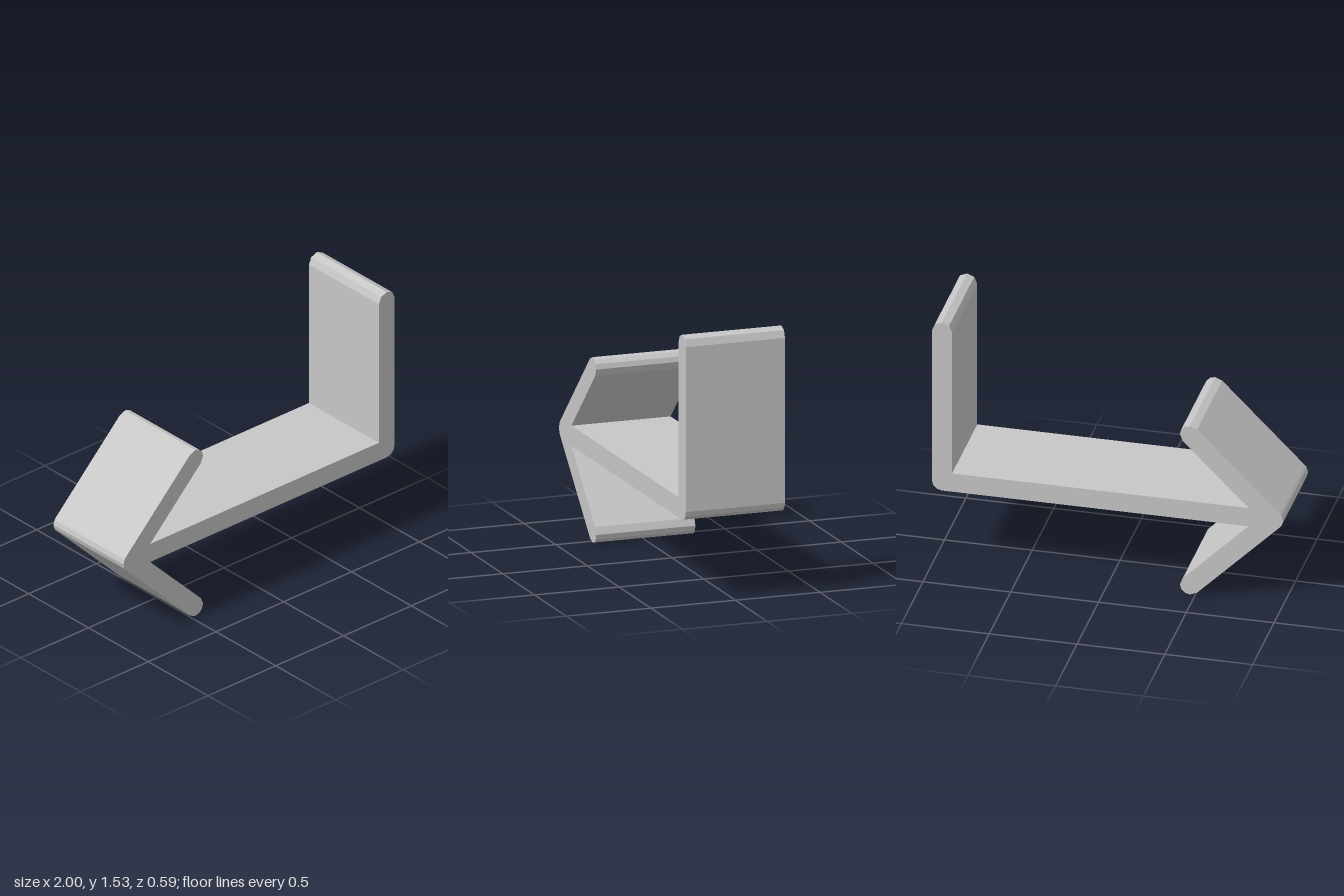
import * as THREE from 'three';

const R = 0.0575;      // half the thickness of every arm
const DEPTH = 0.586;   // width of the strip along z
const MID = 0.53;      // height of the shaft's centre line
const CORNER = 0.9425; // x of both bend centres (plus and minus)
const ARM = 0.4725;    // reach of each barb in x and y

// Points on a rounded end or bend, at the given angles in degrees
function arc(cx, cy, angles) {
  return angles.map((a) => {
    const t = THREE.MathUtils.degToRad(a);
    return new THREE.Vector2(cx + R * Math.cos(t), cy + R * Math.sin(t));
  });
}

export function createModel() {
  const group = new THREE.Group();
  group.name = 'bentBracket';
  const grey = new THREE.MeshStandardMaterial({ color: 0xc6c6c6 });
  grey.name = 'lightGrey';

  const tipX = -CORNER + ARM;
  const notchX = -CORNER + R + R * Math.SQRT2; // where barb meets shaft

  // One continuous outline, counter-clockwise from the lower bend
  const outline = [
    ...arc(CORNER, MID, [270, 300, 330, 360]),            // lower bend
    ...arc(CORNER, MID + CORNER, [0, 45, 90, 135, 180]),  // upright's rounded top
    new THREE.Vector2(CORNER - R, MID + R),               // inner corner
    new THREE.Vector2(notchX, MID + R),                   // upper notch
    ...arc(tipX, MID + ARM, [-45, 0, 30, 60, 90, 135]),   // upper barb end
    ...arc(-CORNER, MID, [135, 150, 180, 210, 225]),      // pointed bend
    ...arc(tipX, MID - ARM, [225, 270, 300, 330, 360, 405]), // lower barb end
    new THREE.Vector2(notchX, MID - R),                   // lower notch
  ];

  const geometry = new THREE.ExtrudeGeometry(new THREE.Shape(outline), {
    depth: DEPTH, bevelEnabled: false, steps: 1,
  });
  geometry.translate(0, 0, -DEPTH / 2);

  const strip = new THREE.Mesh(geometry, grey);
  strip.name = 'bracketStrip';
  group.add(strip);
  return group;
}
